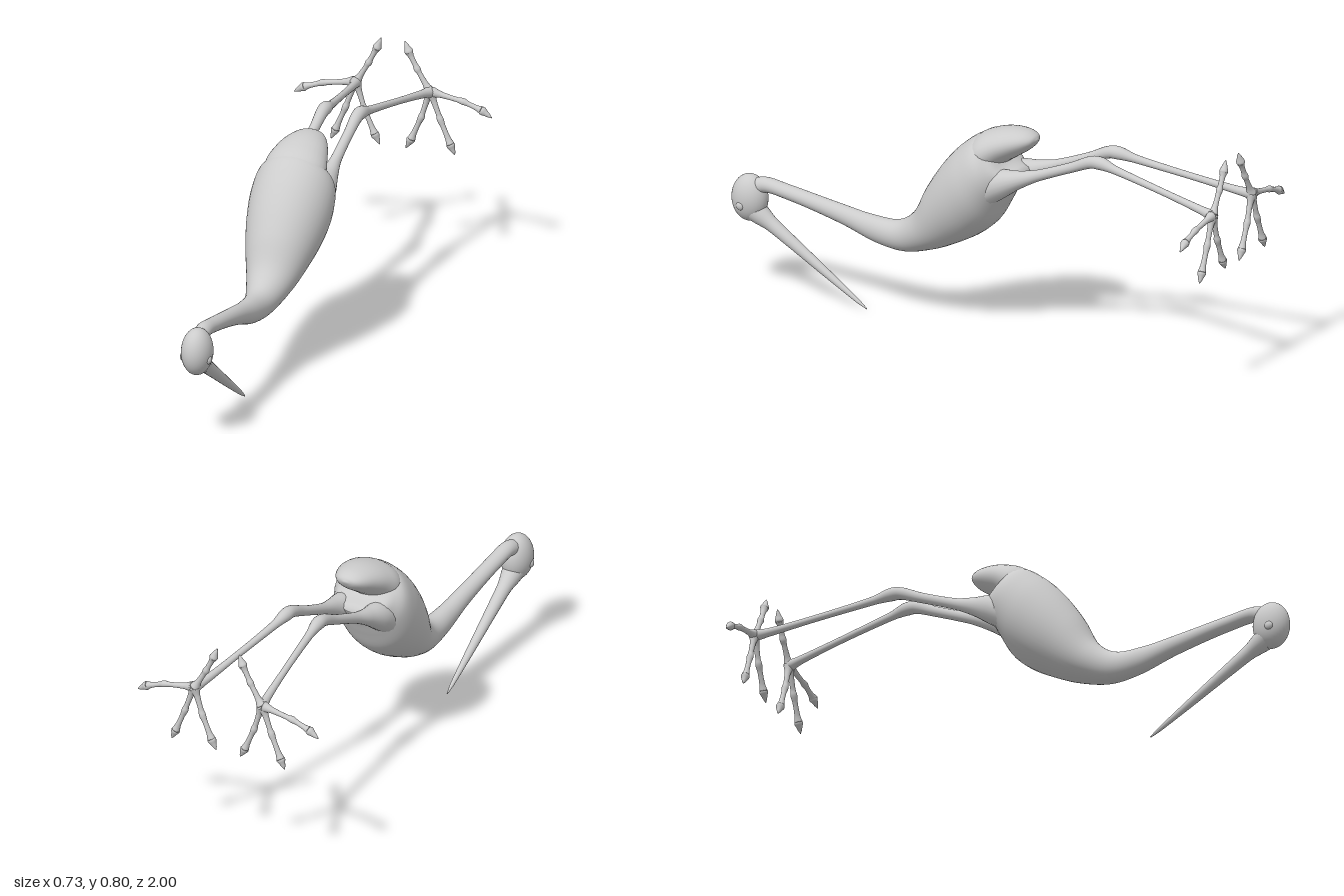
import * as THREE from 'three';

const material = new THREE.MeshStandardMaterial({ color: 0xcccccc });
const V = (x, y, z) => new THREE.Vector3(x, y, z);

function add(parent, name, geometry) {
  const mesh = new THREE.Mesh(geometry, material);
  mesh.name = name;
  parent.add(mesh);
  return mesh;
}

// Skin elliptical rings { c: centre, s: side half-axis, u: up half-axis }, closed at both ends
function loft(rings, sides) {
  const pos = [], idx = [], n = rings.length;
  for (const { c, s, u } of rings) {
    for (let j = 0; j < sides; j++) {
      const a = (j / sides) * Math.PI * 2;
      const p = c.clone().addScaledVector(s, Math.cos(a)).addScaledVector(u, Math.sin(a));
      pos.push(p.x, p.y, p.z);
    }
  }
  pos.push(...rings[0].c.toArray(), ...rings[n - 1].c.toArray());
  for (let j = 0; j < sides; j++) {
    const k = (j + 1) % sides, end = (n - 1) * sides;
    for (let i = 0; i < n - 1; i++) {
      const a = i * sides + j, b = i * sides + k;
      idx.push(a, a + sides, b, b, a + sides, b + sides);
    }
    idx.push(n * sides, j, k, n * sides + 1, end + k, end + j);
  }
  const g = new THREE.BufferGeometry();
  g.setAttribute('position', new THREE.Float32BufferAttribute(pos, 3));
  g.setIndex(idx);
  g.computeVertexNormals();
  return g;
}

// Body skin from side outline rows: [top z, top y, bottom z, bottom y, half width]
function outlineLoft(rows, steps, sides) {
  const tops = new THREE.CatmullRomCurve3(rows.map(r => V(r[4], r[1], r[0])));
  const bottoms = new THREE.CatmullRomCurve3(rows.map(r => V(r[4], r[3], r[2])));
  const rings = [];
  for (let i = 0; i <= steps; i++) {
    const t = tops.getPoint(i / steps), b = bottoms.getPoint(i / steps);
    const w = Math.max(t.x, 0.001);
    t.x = b.x = 0;
    rings.push({ c: t.clone().add(b).multiplyScalar(0.5), s: V(w, 0, 0), u: t.clone().sub(b).multiplyScalar(0.5) });
  }
  return loft(rings, sides);
}

// Tapered round limb through rows: [x, y, z, radius]
function limb(rows, ref, steps, sides) {
  const path = new THREE.CatmullRomCurve3(rows.map(r => V(r[0], r[1], r[2])), false, 'centripetal');
  const radii = new THREE.CatmullRomCurve3(rows.map((r, i) => V(i * 0.02, r[3], 0)));
  const rings = [];
  for (let i = 0; i <= steps; i++) {
    const t = path.getTangent(i / steps);
    const r = Math.max(radii.getPoint(i / steps).y, 0.001);
    const s = ref.clone().addScaledVector(t, -ref.dot(t)).normalize();
    const u = s.clone().cross(t);
    rings.push({ c: path.getPoint(i / steps), s: s.multiplyScalar(r), u: u.multiplyScalar(r) });
  }
  return loft(rings, sides);
}

export function createModel() {
  const bird = new THREE.Group();
  bird.name = 'wadingBird';

  // Neck flowing into the body and ending in the rump
  add(bird, 'neckAndBody', outlineLoft([
    [0.93, 0.405, 0.91, 0.34, 0.028], [0.87, 0.418, 0.87, 0.363, 0.029],
    [0.78, 0.405, 0.775, 0.352, 0.029], [0.57, 0.37, 0.56, 0.3, 0.032],
    [0.45, 0.352, 0.42, 0.255, 0.04], [0.34, 0.352, 0.31, 0.243, 0.053],
    [0.27, 0.4, 0.19, 0.272, 0.082], [0.21, 0.51, 0.09, 0.315, 0.115],
    [0.14, 0.612, 0.01, 0.36, 0.139], [0.07, 0.685, -0.05, 0.412, 0.149],
    [0, 0.728, -0.09, 0.48, 0.142], [-0.05, 0.7, -0.12, 0.535, 0.115],
    [-0.1, 0.642, -0.15, 0.575, 0.085], [-0.15, 0.62, -0.165, 0.597, 0.045],
  ], 78, 40));

  // Short rounded tail overhanging the rump
  add(bird, 'tail', outlineLoft([
    [0.08, 0.66, 0, 0.5, 0.1], [0, 0.733, -0.06, 0.6, 0.112],
    [-0.06, 0.757, -0.095, 0.637, 0.1], [-0.12, 0.767, -0.135, 0.664, 0.083],
    [-0.175, 0.763, -0.175, 0.69, 0.06], [-0.203, 0.75, -0.198, 0.71, 0.036],
    [-0.212, 0.736, -0.21, 0.728, 0.008],
  ], 36, 32));

  // Head
  const head = add(bird, 'head', new THREE.SphereGeometry(1, 32, 24));
  head.scale.set(0.055, 0.085, 0.067);
  head.position.set(0, 0.336, 0.932);

  // Long beak pointing down and back
  add(bird, 'beak', limb([
    [0, 0.305, 0.93, 0.045], [0, 0.277, 0.888, 0.036], [0, 0.25, 0.845, 0.026],
    [0, 0.195, 0.76, 0.021], [0, 0.1, 0.615, 0.014], [0, 0.025, 0.5, 0.007], [0, 0.004, 0.468, 0.002],
  ], V(1, 0, 0), 42, 20));

  // Toes as centre lines in the foot plane: base, middle joint, last knuckle, tip
  const toes = {
    outerToe: [[0.145, 0.628], [0.26, 0.608], [0.327, 0.585], [0.366, 0.561]],
    middleToe: [[0.14, 0.625], [0.175, 0.53], [0.212, 0.443], [0.229, 0.406]],
    innerToe: [[0.135, 0.625], [0.105, 0.53], [0.068, 0.445], [0.048, 0.408]],
    hindToe: [[0.135, 0.63], [0.09, 0.705], [0.06, 0.763], [0.044, 0.803]],
  };

  for (const side of [1, -1]) {
    const prefix = side > 0 ? 'left' : 'right';
    const ref = V(1, 0, 0);

    // Eye
    const eye = add(bird, prefix + 'Eye', new THREE.SphereGeometry(0.016, 16, 12));
    eye.scale.x = 0.7;
    eye.position.set(side * 0.047, 0.315, 0.944);

    // Thigh, ankle joint and shank
    const leg = new THREE.Group();
    leg.name = prefix + 'Leg';
    bird.add(leg);
    add(leg, 'legShaft', limb([
      [0.065, 0.54, -0.03, 0.06], [0.07, 0.58, -0.11, 0.05], [0.07, 0.605, -0.18, 0.031],
      [0.066, 0.63, -0.25, 0.02], [0.064, 0.68, -0.38, 0.018], [0.064, 0.714, -0.465, 0.022],
      [0.065, 0.715, -0.5, 0.023], [0.071, 0.703, -0.56, 0.015], [0.1, 0.665, -0.77, 0.012],
      [0.127, 0.634, -0.94, 0.015], [0.138, 0.627, -0.985, 0.021],
    ].map(([x, y, z, r]) => [side * x, y, z, r]), ref, 72, 18));

    // Toes with swollen joints and pointed claws
    for (const [name, pts] of Object.entries(toes)) {
      const at = (i, f, r) => [
        side * THREE.MathUtils.lerp(pts[i][0], pts[i + 1][0], f),
        THREE.MathUtils.lerp(pts[i][1], pts[i + 1][1], f), -0.985, r];
      add(leg, name, limb([
        at(0, 0, 0.019), at(0, 0.3, 0.011), at(0, 0.8, 0.009), at(1, 0, 0.012),
        at(1, 0.3, 0.009), at(1, 0.75, 0.01), at(2, 0, 0.0145),
      ], V(0, 0, 1), 36, 14));
      add(leg, name + 'Claw', limb([
        at(2, -0.12, 0.012), at(2, 0.1, 0.0155), at(2, 0.4, 0.011), at(2, 0.75, 0.006), at(2, 1, 0.001),
      ], V(0, 0, 1), 16, 14));
    }
  }
  return bird;
}
